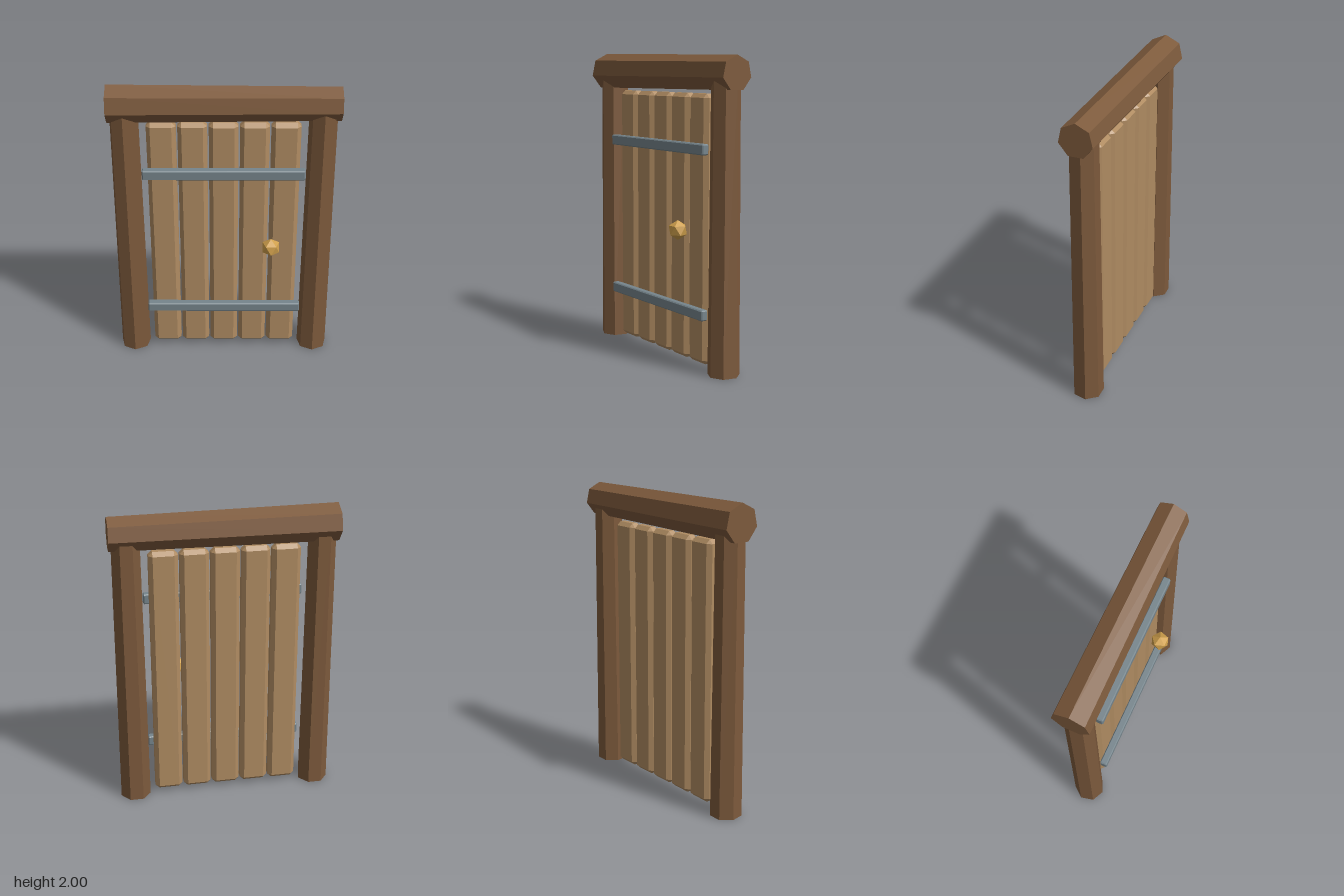
import * as THREE from 'three';
import { ConvexGeometry } from 'three/addons/geometries/ConvexGeometry.js';

const material = (name, color) => {
  const m = new THREE.MeshStandardMaterial({ color });
  m.name = name;
  return m;
};

// Box with flat chamfers on every edge and corner
function chamferedBox(w, h, d, c) {
  const points = [];
  for (const sx of [-1, 1]) for (const sy of [-1, 1]) for (const sz of [-1, 1]) {
    const x = w / 2, y = h / 2, z = d / 2;
    points.push(
      new THREE.Vector3(sx * x, sy * (y - c), sz * (z - c)),
      new THREE.Vector3(sx * (x - c), sy * y, sz * (z - c)),
      new THREE.Vector3(sx * (x - c), sy * (y - c), sz * z)
    );
  }
  return new ConvexGeometry(points);
}

// Seven-sided tapered log with faceted normals
function log(rTop, rBottom, length, start = 0) {
  const g = new THREE.CylinderGeometry(rTop, rBottom, length, 7, 1, false, start).toNonIndexed();
  g.computeVertexNormals();
  return g;
}

export function createModel() {
  const model = new THREE.Group();
  model.name = 'woodenDoor';
  const darkWood = material('darkWood', 0x7d5a3c);
  const plankWood = material('plankWood', 0xb08c62);
  const iron = material('iron', 0x76858c);
  const brass = material('brass', 0xd0a04c);

  const add = (name, geometry, mat, x, y, z) => {
    const mesh = new THREE.Mesh(geometry, mat);
    mesh.name = name;
    mesh.position.set(x, y, z);
    model.add(mesh);
    return mesh;
  };

  // Frame: two posts and a tapered beam across the top
  const depth = -0.03;
  const post = log(0.092, 0.103, 1.84);
  add('rightPost', post, darkWood, -0.628, 0.92, depth);
  add('leftPost', post, darkWood, 0.622, 0.92, depth);
  const beam = add('topBeam', log(0.11, 0.123, 1.458, -Math.PI / 2), darkWood, 0, 1.876, depth);
  beam.rotation.z = -Math.PI / 2;

  // Door planks
  const plank = chamferedBox(0.187, 1.72, 0.09, 0.026);
  for (let i = 0; i < 5; i++) {
    add(`plank${i + 1}`, plank, plankWood, (i - 2) * 0.197 - 0.003, 0.89, depth);
  }

  // Iron straps
  const strap = chamferedBox(1.04, 0.068, 0.05, 0.007);
  add('lowerStrap', strap, iron, -0.003, 0.367, 0.04);
  add('upperStrap', strap, iron, -0.003, 1.41, 0.04);

  // Faceted knob, standing on a corner
  const knob = new THREE.IcosahedronGeometry(0.064, 0);
  knob.rotateX(-Math.atan((1 + Math.sqrt(5)) / 2));
  knob.rotateY(Math.PI);
  add('knob', knob, brass, 0.308, 0.89, 0.098);

  return model;
}
